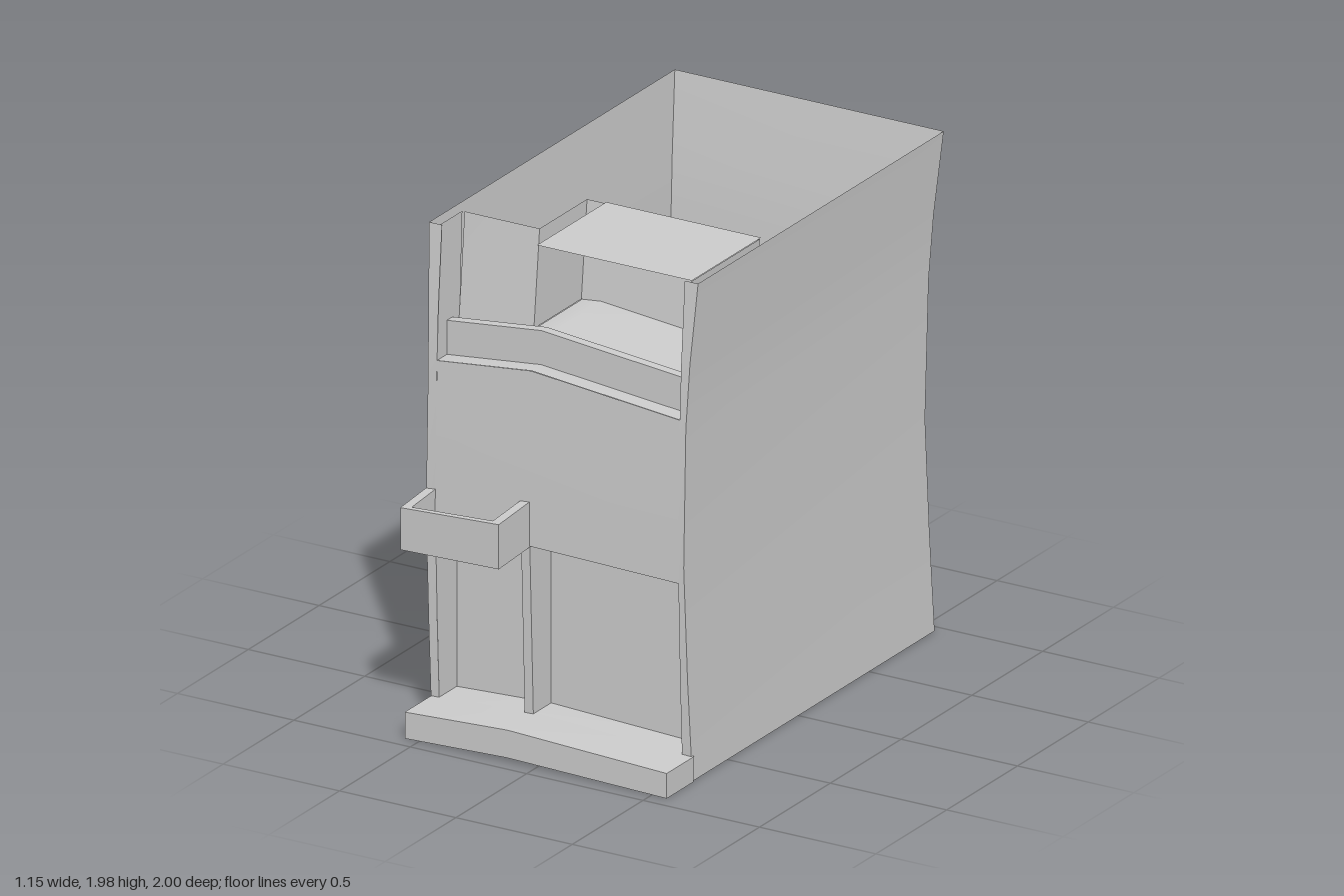
import * as THREE from 'three';

const material = new THREE.MeshStandardMaterial({ color: 0xcccccc, side: THREE.DoubleSide });
const flat = new THREE.MeshStandardMaterial({ color: 0xcccccc, side: THREE.DoubleSide, flatShading: true });

// Outline of the shell by height: y, left x, right x, front z, back z
const LEVELS = [
  [0, -0.56, 0.56, 0.75, -0.96],
  [0.4, -0.562, 0.55, 0.768, -0.94],
  [0.85, -0.565, 0.542, 0.782, -0.922],
  [1.4, -0.562, 0.545, 0.772, -0.943],
  [1.65, -0.568, 0.555, 0.76, -0.962],
  [1.97, -0.58, 0.575, 0.735, -1.0],
];
function level(y, k) {
  let i = 0;
  while (i < LEVELS.length - 2 && y > LEVELS[i + 1][0]) i++;
  const a = LEVELS[i], b = LEVELS[i + 1];
  return a[k] + (b[k] - a[k]) * (y - a[0]) / (b[0] - a[0]);
}
const xl = y => level(y, 1), xr = y => level(y, 2), zf = y => level(y, 3), zb = y => level(y, 4);

// Horizontal edges are bent at one bay line
const BEND = -0.12, L = -0.525, R = 0.518;
const bent = (l, m, r) => x => x < BEND
  ? l + (m - l) * (x - L) / (BEND - L)
  : m + (r - m) * (x - BEND) / (R - BEND);
const baseBottom = bent(0, 0.015, 0), baseTop = bent(0.105, 0.125, 0.1);
const doorTop = bent(0.77, 0.8, 0.785);
const ledgeY = bent(1.445, 1.49, 1.43), parapetY = bent(1.58, 1.625, 1.565);
const floorY = x => parapetY(x) - 0.03;

// Surface patch: fn(u, v) gives a point, u and v step through lists
function patch(us, vs, fn) {
  const pos = [], idx = [], n = us.length;
  vs.forEach(v => us.forEach(u => pos.push(...fn(u, v))));
  for (let j = 0; j < vs.length - 1; j++) {
    for (let i = 0; i < n - 1; i++) {
      const a = j * n + i;
      idx.push(a, a + 1, a + n + 1, a, a + n + 1, a + n);
    }
  }
  const g = new THREE.BufferGeometry();
  g.setAttribute('position', new THREE.Float32BufferAttribute(pos, 3));
  g.setIndex(idx);
  g.computeVertexNormals();
  return g;
}

// Box whose eight corners are placed by a rule of three 0..1 values
function hexa(fn) {
  const g = new THREE.BoxGeometry(1, 1, 1), p = g.attributes.position;
  for (let i = 0; i < p.count; i++) p.setXYZ(i, ...fn(p.getX(i) + 0.5, p.getY(i) + 0.5, p.getZ(i) + 0.5));
  g.computeVertexNormals();
  return g;
}
const mix = (a, b, t) => a + (b - a) * t;
const T = [0, 1];
const YS = LEVELS.map(l => l[0]);

export function createModel() {
  const model = new THREE.Group();
  const add = (name, geometry, mat = material) => {
    const mesh = new THREE.Mesh(geometry, mat);
    mesh.name = name;
    model.add(mesh);
  };

  // Outer walls
  add('sideWallLeft', patch(T, YS, (t, y) => [xr(y), y, mix(zf(y), zb(y), t)]));
  add('sideWallRight', patch(T, YS, (t, y) => [xl(y), y, mix(zb(y), zf(y), t)]));
  add('backWall', patch(T, YS, (t, y) => [mix(xr(y), xl(y), t), y, zb(y)]));

  // Front wall: two corner strips and a middle panel between the openings
  add('cornerStripRight', patch(T, YS, (t, y) => [mix(xl(y), L, t), y, zf(y)]));
  add('cornerStripLeft', patch(T, YS, (t, y) => [mix(R, xr(y), t), y, zf(y)]));
  add('frontPanel', patch([L, BEND, R], [0, 0.25, 0.5, 0.75, 1], (x, t) => {
    const y = mix(doorTop(x), ledgeY(x), t);
    return [x, y, zf(y) + (x === BEND ? 0.004 : 0)];
  }));

  // Base step, open underneath
  const bx = [-0.56, BEND, 0.565];
  add('baseStepFront', patch(bx, T, (x, t) => [x, mix(baseBottom(x), baseTop(x), t), 0.94]));
  add('baseStepTop', patch(bx, T, (x, t) => [x, baseTop(x), mix(0.94, 0.745, t)]));
  add('baseStepFloor', patch([L, BEND, R], T, (x, t) => [x, baseTop(x), mix(0.745, 0.63, t)]));
  for (const x of [bx[0], bx[2]]) {
    add('baseStepEnd', patch([0.75, 0.94], T, (z, t) => [x, mix(baseBottom(x), baseTop(x), t), z]));
  }

  // Lower recess with its jambs, head and dividing post
  const lowZ = 0.63;
  add('lowerRecessBack', patch([L, BEND, R], T, (x, t) => [x, mix(baseTop(x), doorTop(x), t), lowZ]));
  add('lowerRecessHead', patch([L, BEND, R], T, (x, t) => [x, doorTop(x), mix(lowZ, zf(0.8), t)]));
  for (const x of [L, R]) {
    add('lowerRecessJamb', patch(T, [0, 0.5, 1], (t, v) => {
      const y = mix(baseTop(x), doorTop(x), v);
      return [x, y, mix(lowZ, zf(y), t)];
    }));
  }
  add('dividingPost', hexa((u, v, w) => {
    const x = mix(-0.157, BEND, u), y = mix(baseTop(x), doorTop(x), v);
    return [x, y, mix(lowZ, zf(y), w)];
  }), flat);

  // Upper terrace: ledge, parapet and floor
  const TX = [L, BEND, R];
  const pz = 0.70, pi = 0.66;
  add('terraceLedge', patch(TX, T, (x, t) => [x, ledgeY(x), mix(zf(1.45), pz, t)]));
  add('parapetFront', patch(TX, T, (x, t) => [x, mix(ledgeY(x), parapetY(x), t), pz]));
  add('parapetTop', patch(TX, T, (x, t) => [x, parapetY(x), mix(pz, pi, t)]));
  add('parapetInside', patch(TX, T, (x, t) => [x, mix(parapetY(x), floorY(x), t), pi]));
  add('terraceFloorShallow', patch([L, -0.2], T, (x, t) => [x, floorY(x), mix(pi, 0.615, t)]));
  add('terraceFloorDeep', patch([-0.2, BEND, R], T, (x, t) => [x, floorY(x), mix(pi, 0.28, t)]));

  // Terrace walls lean slightly outwards at the top
  const top = 1.968;
  const shallowZ = t => mix(0.615, 0.575, t), deepZ = t => mix(0.28, 0.24, t);
  add('terraceBackShallow', patch([L, -0.203], T, (x, t) => [x, mix(floorY(x), top, t), shallowZ(t)]));
  add('terraceBackDeep', patch([-0.203, BEND, 0.535], T, (x, t) => [x, mix(floorY(x), top, t), deepZ(t)]));
  add('terraceDivider', patch(T, T, (s, t) =>
    [-0.203, mix(floorY(-0.2), top, t), mix(shallowZ(t), deepZ(t), s)]));
  for (const [x0, x1, back] of [[L, -0.535, shallowZ], [R, 0.54, deepZ]]) {
    add('terraceSide', patch(T, [0, 0.5, 1], (s, t) => {
      const y = mix(ledgeY(x0), top, t);
      return [mix(x0, x1, t), y, mix(zf(y), back(t), s)];
    }));
  }
  add('terraceRoof', patch([BEND, 0.545], [0.24, 0.73], (x, z) => [x, 1.974, z]));

  // Small balcony: tray with skewed front, x by u, height by v, depth by w
  const tray = (u, v, w) => {
    const low = mix(0.765, 0.795, u) - 0.012 * w;
    const high = mix(0.935, 0.975, u) - 0.015 * w;
    return [mix(-0.566, BEND, u), mix(low, high, v), mix(0.775, mix(0.962, 1.0, u), w)];
  };
  const part = (name, u0, u1, v0, v1, w0, w1) => add(name,
    hexa((u, v, w) => tray(mix(u0, u1, u), mix(v0, v1, v), mix(w0, w1, w))), flat);
  part('balconyFloor', 0, 1, 0, 0.15, 0, 1);
  part('balconyFront', 0, 1, 0, 1, 0.9, 1);
  part('balconySideRight', 0, 0.09, 0, 1, 0, 1);
  part('balconySideLeft', 0.91, 1, 0, 1, 0, 1);

  return model;
}
